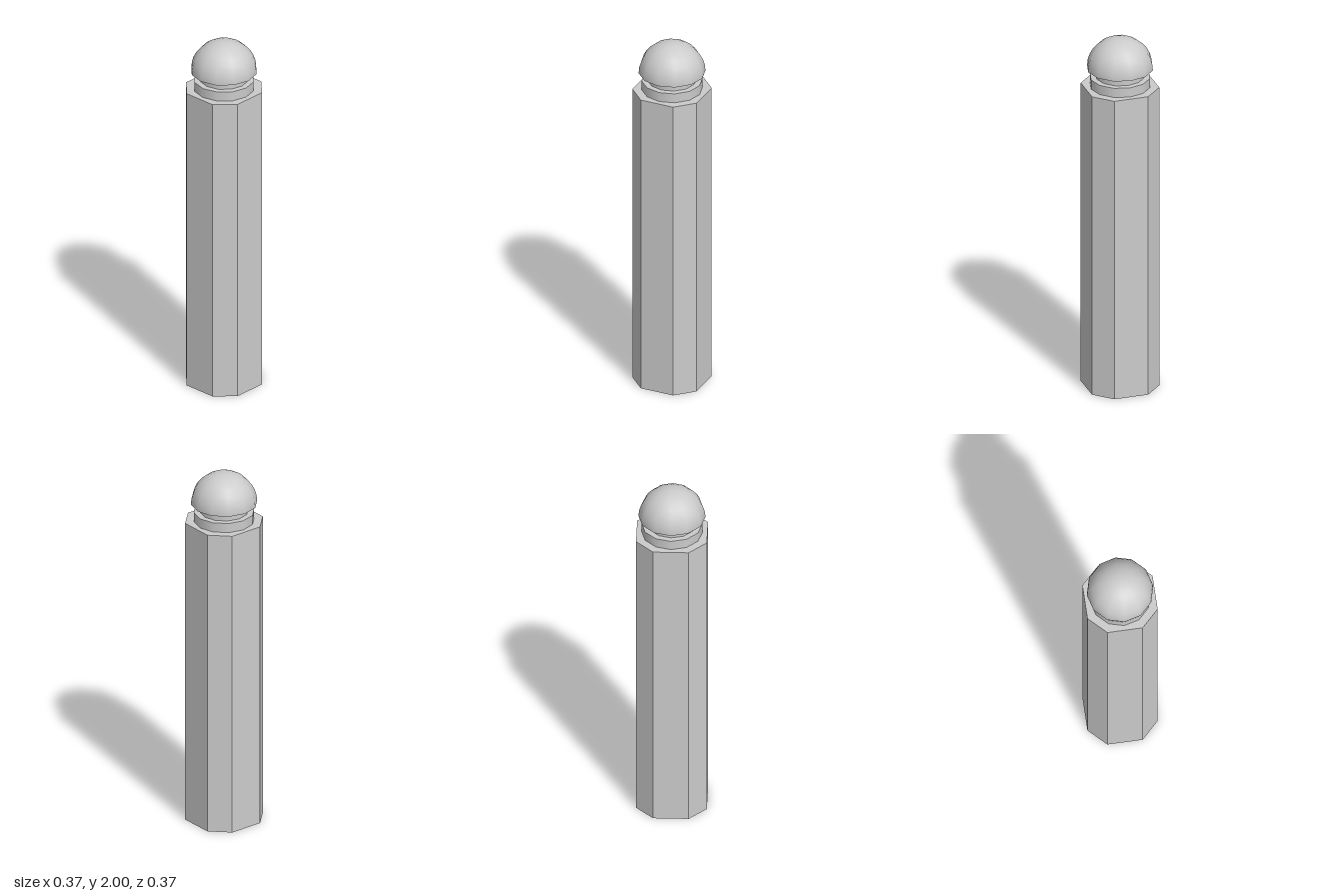
import * as THREE from 'three';

const SIDES = 12;

export function createModel() {
  const model = new THREE.Group();
  const smooth = new THREE.MeshStandardMaterial({ color: 0xcccccc });
  const flat = new THREE.MeshStandardMaterial({ color: 0xcccccc, flatShading: true });

  function add(name, geometry, material, y, parent = model) {
    const mesh = new THREE.Mesh(geometry, material);
    mesh.name = name;
    mesh.position.y = y;
    parent.add(mesh);
    return mesh;
  }

  // Post: a square with wide chamfered corners, extruded upwards
  const half = 0.187, flatHalf = 0.094, postHeight = 1.725;
  const corners = [];
  for (const [sx, sy] of [[1, 1], [-1, 1], [-1, -1], [1, -1]]) {
    const pair = [
      new THREE.Vector2(sx * half, sy * flatHalf),
      new THREE.Vector2(sx * flatHalf, sy * half),
    ];
    corners.push(...(sx * sy > 0 ? pair : pair.reverse()));
  }
  const postGeometry = new THREE.ExtrudeGeometry(new THREE.Shape(corners), {
    depth: postHeight,
    bevelEnabled: false,
  });
  postGeometry.rotateX(-Math.PI / 2);
  add('post', postGeometry, flat, 0);

  // Stepped collar and neck under the cap
  add('collar', new THREE.CylinderGeometry(0.161, 0.161, 0.053, SIDES), smooth, 1.7515);
  add('neck', new THREE.CylinderGeometry(0.129, 0.129, 0.05, SIDES), smooth, 1.802);

  // Domed cap with a flat underside
  const cap = new THREE.Group();
  cap.name = 'cap';
  cap.position.y = 1.825;
  model.add(cap);
  const dome = new THREE.SphereGeometry(0.177, SIDES, 8, 0, Math.PI * 2, 0, Math.PI / 2);
  dome.scale(1, 0.175 / 0.177, 1);
  add('dome', dome, smooth, 0, cap);
  const underside = new THREE.CircleGeometry(0.177, SIDES);
  underside.rotateX(Math.PI / 2);
  add('capUnderside', underside, smooth, 0, cap);

  return model;
}
